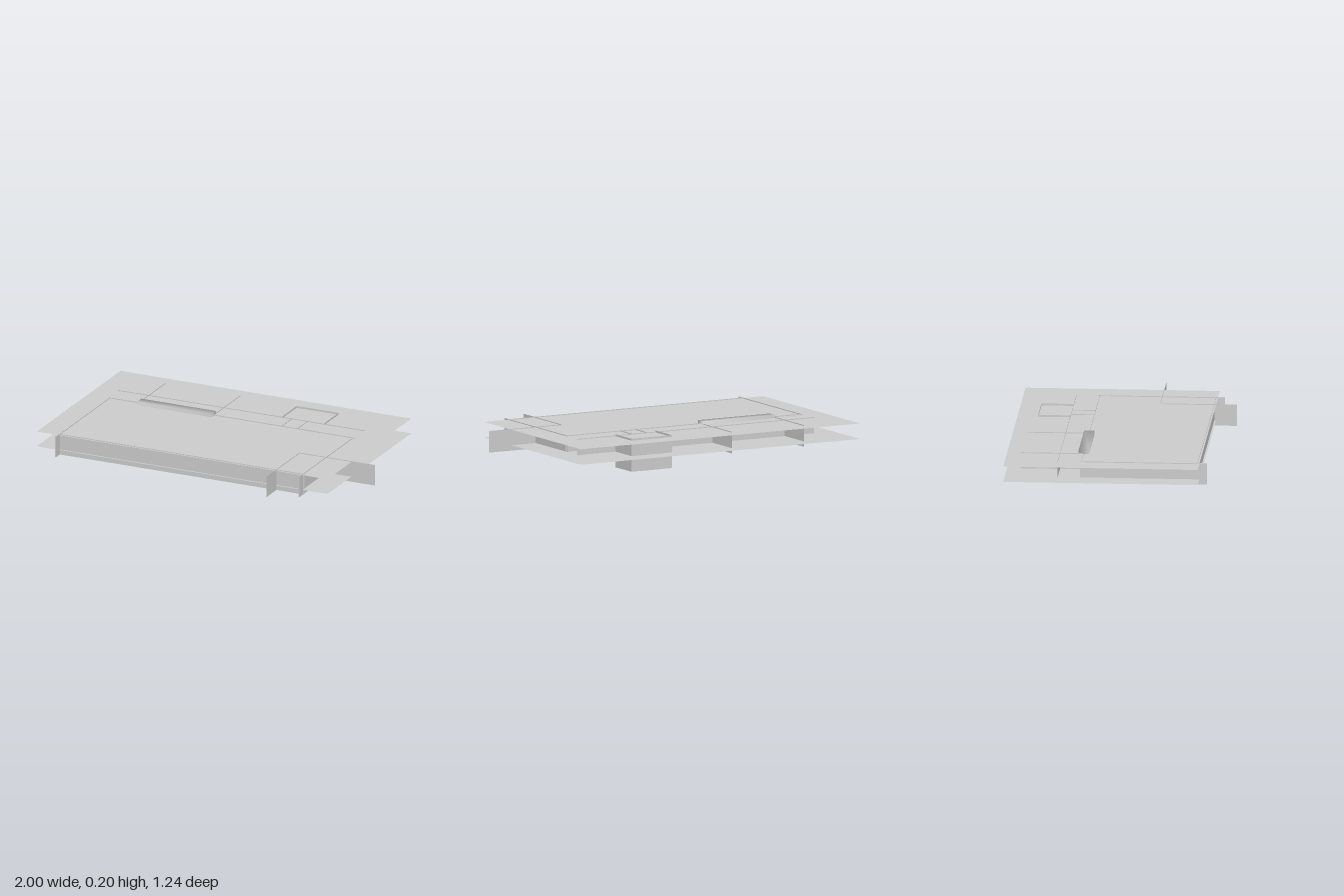
import * as THREE from 'three';
import { mergeVertices } from 'three/addons/utils/BufferGeometryUtils.js';

export function createModel() {
  const group = new THREE.Group();
  const sheet = new THREE.MeshStandardMaterial({ color: 0xcccccc, side: THREE.DoubleSide });
  const solid = new THREE.MeshStandardMaterial({ color: 0xcccccc });
  const add = (name, geometry, material = sheet) => {
    const mesh = new THREE.Mesh(geometry, material);
    mesh.name = name;
    group.add(mesh);
    return mesh;
  };

  // Thin upright wall between two floor plan points
  const wall = (name, x1, z1, x2, z2, y0 = 0.06, y1 = 0.186) => {
    const geometry = new THREE.PlaneGeometry(Math.hypot(x2 - x1, z2 - z1), y1 - y0);
    geometry.rotateY(-Math.atan2(z2 - z1, x2 - x1));
    add(name, geometry).position.set((x1 + x2) / 2, (y0 + y1) / 2, (z1 + z2) / 2);
  };

  // Two parallel floor sheets
  for (const [name, y] of [['lowerSlab', 0.091], ['upperSlab', 0.181]]) {
    add(name, new THREE.PlaneGeometry(1.85, 1.12).rotateX(-Math.PI / 2)).position.set(-0.075, y, -0.06);
  }

  // Main room: long walls and slightly thicker end walls that overrun the front
  wall('frontWall', -0.87, 0.49, 0.7, 0.49);
  wall('roomBackWall', -0.87, -0.18, 0.7, -0.18);
  for (const x of [-0.861, 0.687]) {
    add('endWall', new THREE.BoxGeometry(0.006, 0.126, 0.727), solid).position.set(x, 0.123, 0.1765);
  }

  // Corridor behind the room, its door jambs and the rear partitions
  wall('corridorWall', -0.87, -0.315, 0.7, -0.315);
  for (const x of [0.235, 0.335]) wall('doorJamb', x, -0.315, x, -0.18);
  for (const x of [-0.675, -0.197]) wall('rearPartition', x, -0.54, x, -0.18);

  // Corner room at the front left
  wall('cornerRoomSide', 0.52, 0.62, 0.52, 0.18);
  wall('cornerRoomBack', 0.52, 0.18, 1, 0.18);

  // Tall three-sided shaft at the back
  wall('shaftBack', 0.178, -0.5, 0.445, -0.5, 0, 0.192);
  for (const x of [0.178, 0.445]) wall('shaftSide', x, -0.5, x, -0.312, 0, 0.192);

  // Solid bar in the room wall, with normals smoothed across its corners
  let bar = new THREE.BoxGeometry(0.476, 0.182, 0.061);
  bar.deleteAttribute('normal');
  bar.deleteAttribute('uv');
  bar = mergeVertices(bar);
  bar.computeVertexNormals();
  add('wallBar', bar, solid).position.set(-0.434, 0.108, -0.179);

  return group;
}
